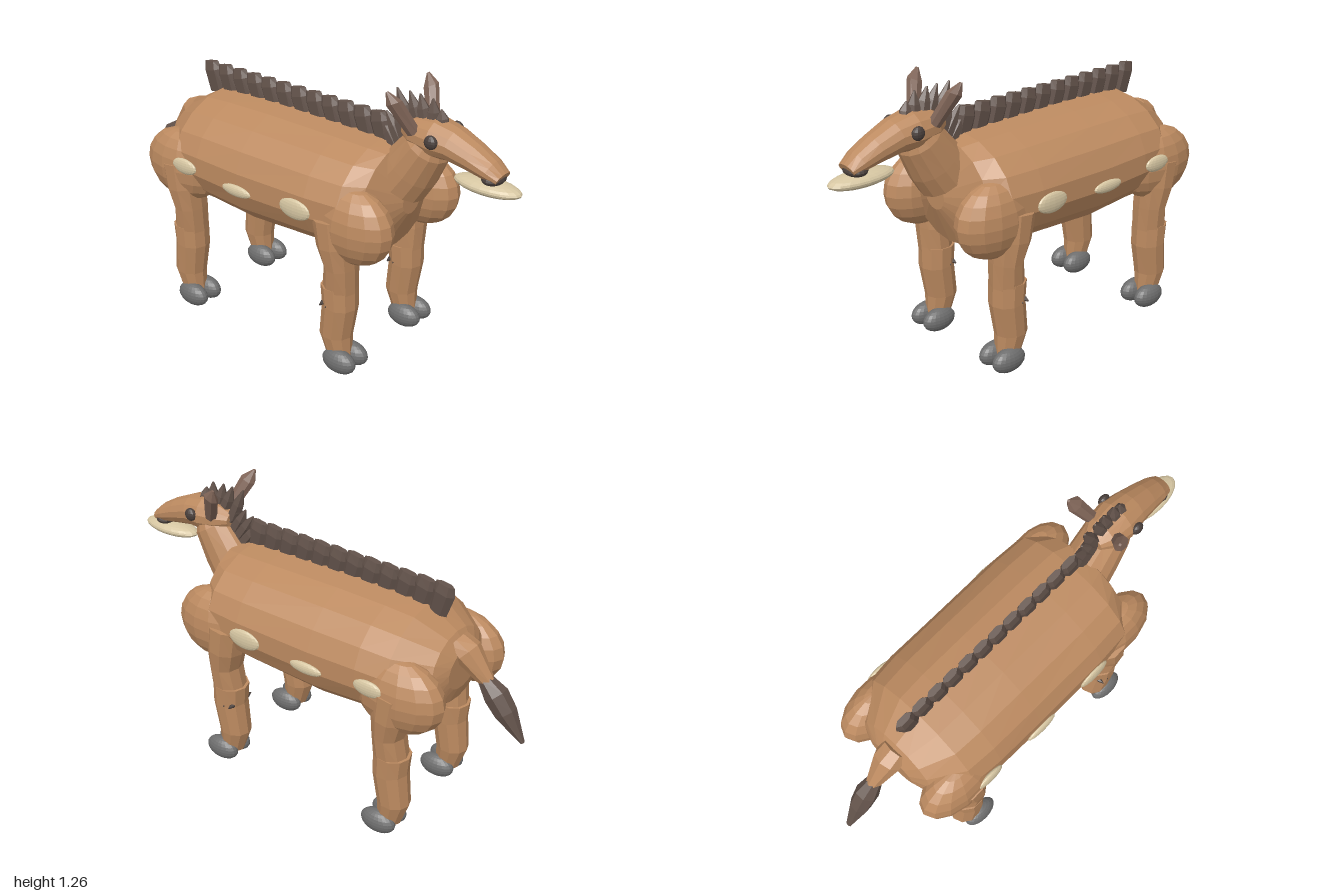
import * as THREE from 'three';

const mat = (name, color) => {
  const m = new THREE.MeshStandardMaterial({ color });
  m.name = name;
  return m;
};

// Faceted tube through rings [x, y, z, radius in the xy plane, radius along z]
function loft(rings, n) {
  const pos = [], idx = [];
  rings.forEach(([x, y, z, a, b], i) => {
    const p = rings[Math.max(i - 1, 0)], q = rings[Math.min(i + 1, rings.length - 1)];
    const t = new THREE.Vector2(q[0] - p[0], q[1] - p[1]).normalize();
    for (let j = 0; j < n; j++) {
      const w = (j / n) * Math.PI * 2, u = a * Math.cos(w);
      pos.push(x - t.y * u, y + t.x * u, z + b * Math.sin(w));
    }
  });
  const last = rings.length - 1;
  pos.push(...rings[0].slice(0, 3), ...rings[last].slice(0, 3));
  const c0 = rings.length * n, c1 = c0 + 1;
  for (let j = 0; j < n; j++) {
    const k = (j + 1) % n;
    for (let i = 0; i < last; i++) {
      const a = i * n + j, b = i * n + k;
      idx.push(a, b, a + n, b, b + n, a + n);
    }
    idx.push(c0, k, j, c1, last * n + j, last * n + k);
  }
  const g = new THREE.BufferGeometry();
  g.setAttribute('position', new THREE.Float32BufferAttribute(pos, 3));
  g.setIndex(idx);
  return flat(g);
}

function flat(g) {
  const f = g.toNonIndexed();
  f.computeVertexNormals();
  return f;
}

function ellipsoid(rx, ry, rz, w = 16, h = 10) {
  return flat(new THREE.SphereGeometry(1, w, h).scale(rx, ry, rz));
}

export function createModel() {
  const coat = mat('tan coat', 0xbc8a60);
  const hair = mat('dark hair', 0x62524a);
  const earBrown = mat('ear brown', 0x806558);
  const hoofGrey = mat('hoof grey', 0x6e6e6e);
  const cream = mat('cream', 0xd6c6a2);
  const dark = mat('eye dark', 0x4a403c);

  const model = new THREE.Group();
  const add = (name, geo, material, x = 0, y = 0, z = 0) => {
    const m = new THREE.Mesh(geo, material);
    m.name = name;
    m.position.set(x, y, z);
    model.add(m);
    return m;
  };

  // Barrel body with blunt chest and rump
  add('body', loft([
    [-0.71, 0.76, 0, 0.09, 0.12], [-0.68, 0.76, 0, 0.15, 0.2], [-0.54, 0.745, 0, 0.245, 0.315],
    [-0.4, 0.75, 0, 0.25, 0.328], [-0.17, 0.742, 0, 0.263, 0.33], [0.2, 0.75, 0, 0.25, 0.33],
    [0.36, 0.755, 0, 0.24, 0.32], [0.43, 0.755, 0, 0.225, 0.25], [0.5, 0.755, 0, 0.06, 0.06],
  ], 18), coat);

  // Neck and head
  add('neck', loft([
    [0.45, 0.84, 0, 0.125, 0.115], [0.5, 0.91, 0, 0.12, 0.11], [0.57, 1.02, 0, 0.1, 0.1], [0.59, 1.06, 0, 0.07, 0.08],
  ], 14), coat);
  add('head', loft([
    [0.47, 1.07, 0, 0.035, 0.05], [0.52, 1.07, 0, 0.065, 0.085], [0.61, 1.065, 0, 0.082, 0.097],
    [0.69, 1.057, 0, 0.07, 0.085], [0.78, 1.028, 0, 0.058, 0.073], [0.86, 0.997, 0, 0.043, 0.063],
    [0.908, 0.975, 0, 0.025, 0.05],
  ], 14), coat);
  add('muzzle', ellipsoid(0.045, 0.026, 0.06), dark, 0.87, 0.967, 0);
  add('lowerJaw', ellipsoid(0.148, 0.031, 0.064, 20, 12), cream, 0.845, 0.925, 0);

  // Tail and its tuft
  add('tail', loft([
    [-0.67, 0.87, 0, 0.045, 0.06], [-0.72, 0.835, 0, 0.06, 0.065], [-0.82, 0.73, 0, 0.032, 0.03],
  ], 8), coat);
  add('tailTuft', loft([
    [-0.8, 0.745, 0, 0.03, 0.03], [-0.86, 0.685, 0, 0.055, 0.05], [-0.91, 0.62, 0, 0.05, 0.045],
    [-0.997, 0.51, 0, 0.006, 0.012],
  ], 7), hair);

  // Mane along the back
  for (let i = 0; i < 12; i++) {
    const x = -0.59 + i * 0.084;
    add('backMane', loft([
      [x + 0.02, 0.965, 0, 0.045, 0.018], [x - 0.005, 1.06, 0, 0.052, 0.026], [x - 0.012, 1.098, 0, 0.042, 0.016],
    ], 6), hair);
  }
  // Spiky tufts: [base x, base y, tip x, tip y]
  const spikes = [
    [0.42, 0.97, 0.33, 1.08], [0.44, 1.0, 0.36, 1.11], [0.46, 1.03, 0.4, 1.13], [0.48, 1.07, 0.42, 1.16],
    [0.47, 1.08, 0.41, 1.22], [0.52, 1.1, 0.47, 1.22], [0.55, 1.11, 0.52, 1.22],
    [0.59, 1.11, 0.58, 1.215], [0.63, 1.11, 0.62, 1.18],
  ];
  for (const [bx, by, tx, ty] of spikes) {
    add('neckMane', loft([
      [bx, by, 0, 0.032, 0.034], [(bx + tx) / 2, (by + ty) / 2, 0, 0.027, 0.025], [tx, ty, 0, 0.004, 0.004],
    ], 6), hair);
  }

  for (const s of [1, -1]) {
    // Ears and eyes
    add('ear', loft([
      [0.545, 1.08, 0.065 * s, 0.028, 0.028], [0.485, 1.21, 0.125 * s, 0.036, 0.028],
      [0.46, 1.254, 0.138 * s, 0.006, 0.006],
    ], 7), earBrown);
    add('eye', ellipsoid(0.029, 0.029, 0.02, 12, 8), dark, 0.638, 1.078, 0.093 * s);

    // Cream flank patches: [x, y, half length, half height]
    for (const [x, y, rx, ry] of [[-0.47, 0.735, 0.07, 0.036], [-0.165, 0.712, 0.08, 0.026], [0.155, 0.73, 0.08, 0.045]]) {
      add('flankPatch', ellipsoid(rx, ry, 0.016), cream, x, y, 0.328 * s);
    }

    // Legs, front pair then hind pair
    for (const dx of [0, -0.86]) {
      const hind = dx < 0;
      add(hind ? 'haunch' : 'shoulder', ellipsoid(hind ? 0.205 : 0.185, 0.165, 0.105, 14, 10), coat,
        hind ? -0.56 : 0.39, 0.695, 0.235 * s);
      add('upperLeg', loft([
        [0.305 + dx, 0.72, 0.262 * s, 0.095, 0.083], [0.32 + dx, 0.6, 0.255 * s, 0.085, 0.088],
        [0.335 + dx, 0.5, 0.245 * s, 0.068, 0.082], [0.325 + dx, 0.38, 0.237 * s, 0.075, 0.075],
      ], 10), coat);
      add('lowerLeg', loft([
        [0.32 + dx, 0.405, 0.237 * s, 0.08, 0.08], [0.325 + dx, 0.31, 0.237 * s, 0.077, 0.078],
        [0.305 + dx, 0.16, 0.237 * s, 0.073, 0.068], [0.325 + dx, 0.06, 0.237 * s, 0.055, 0.05],
      ], 10), coat);
      for (const dz of [0.043, -0.043]) {
        add('hoof', ellipsoid(0.083, 0.054, 0.043, 20, 12), hoofGrey, 0.353 + dx, 0.055, (0.236 + dz) * s);
      }
    }
    // Small dark marks on the front legs
    for (const x of [0.275, 0.305]) add('legMark', ellipsoid(0.015, 0.014, 0.081, 8, 8), dark, x, 0.32, 0.237 * s);
  }
  return model;
}
